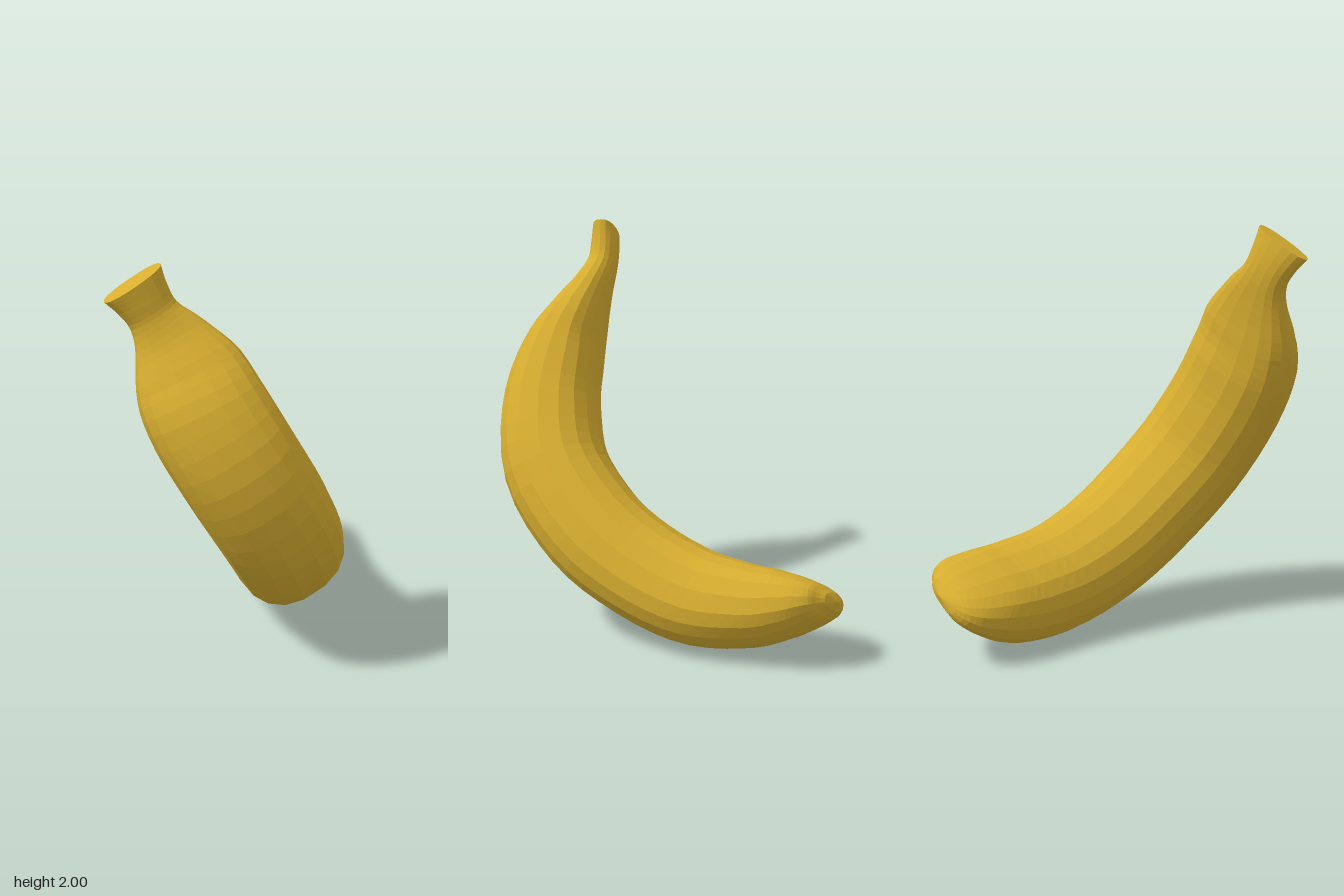
import * as THREE from 'three';

const SIDES = 18, RINGS = 56;

// Centre (x, y, z) and long / short radius of sections from stem to tip
const SECTIONS = [
  [-0.305, 1.922, 0.775, 0.15, 0.06],
  [-0.27, 1.84, 0.74, 0.126, 0.068],
  [-0.23, 1.755, 0.712, 0.123, 0.073],
  [-0.16, 1.645, 0.698, 0.183, 0.092],
  [-0.075, 1.505, 0.702, 0.256, 0.138],
  [0.022, 1.325, 0.705, 0.283, 0.2],
  [0.15, 1.07, 0.643, 0.288, 0.245],
  [0.237, 0.785, 0.487, 0.288, 0.265],
  [0.203, 0.53, 0.23, 0.28, 0.267],
  [0.11, 0.37, -0.01, 0.272, 0.257],
  [-0.015, 0.267, -0.28, 0.265, 0.242],
  [-0.15, 0.252, -0.52, 0.263, 0.207],
  [-0.25, 0.274, -0.67, 0.258, 0.17],
  [-0.315, 0.297, -0.77, 0.24, 0.128],
  [-0.36, 0.315, -0.85, 0.198, 0.085],
  [-0.383, 0.326, -0.9, 0.115, 0.042],
];
const TIP = [-0.39, 0.332, -0.922];

// Softly squared ellipse
const squared = (v) => Math.sign(v) * Math.abs(v) ** 0.84;

function bananaGeometry() {
  const path = new THREE.CatmullRomCurve3(
    SECTIONS.map(([x, y, z]) => new THREE.Vector3(x, y, z)), false, 'catmullrom');
  const radii = new THREE.CatmullRomCurve3(
    SECTIONS.map(([, , , a, b]) => new THREE.Vector3(a, b, 0)), false, 'catmullrom');
  const wide = new THREE.Vector3(0.68, 0.48, -0.55);
  const positions = [], index = [];

  // Rings square to the path, with a steady wide direction
  for (let i = 0; i <= RINGS; i++) {
    const t = i / RINGS;
    const c = path.getPoint(t), r = radii.getPoint(t), T = path.getTangent(t);
    const L = wide.clone().addScaledVector(T, -wide.dot(T)).normalize();
    const S = new THREE.Vector3().crossVectors(T, L);
    for (let j = 0; j < SIDES; j++) {
      const a = (j / SIDES) * Math.PI * 2;
      const p = c.clone()
        .addScaledVector(L, r.x * squared(Math.cos(a)))
        .addScaledVector(S, r.y * squared(Math.sin(a)));
      positions.push(p.x, p.y, p.z);
    }
  }
  for (let i = 0; i < RINGS; i++) {
    for (let j = 0; j < SIDES; j++) {
      const k = (j + 1) % SIDES;
      const a = i * SIDES + j, b = i * SIDES + k, c = a + SIDES, d = b + SIDES;
      index.push(a, b, c, b, d, c);
    }
  }

  // Flat stem cut and rounded, wedge-like tip
  const stemCentre = positions.length / 3, tipCentre = stemCentre + 1;
  positions.push(...path.getPoint(0).toArray(), ...TIP);
  for (let j = 0; j < SIDES; j++) {
    const k = (j + 1) % SIDES, last = RINGS * SIDES;
    index.push(stemCentre, k, j, tipCentre, last + j, last + k);
  }

  // Unshared corners give flat facets
  const indexed = new THREE.BufferGeometry();
  indexed.setAttribute('position', new THREE.Float32BufferAttribute(positions, 3));
  indexed.setIndex(index);
  const geometry = indexed.toNonIndexed();
  geometry.computeVertexNormals();
  return geometry;
}

export function createModel() {
  const group = new THREE.Group();
  group.name = 'banana';
  const yellowPeel = new THREE.MeshStandardMaterial({ color: 0xd6ad30 });
  yellowPeel.name = 'yellow peel';
  const peel = new THREE.Mesh(bananaGeometry(), yellowPeel);
  peel.name = 'peel';
  group.add(peel);
  return group;
}
